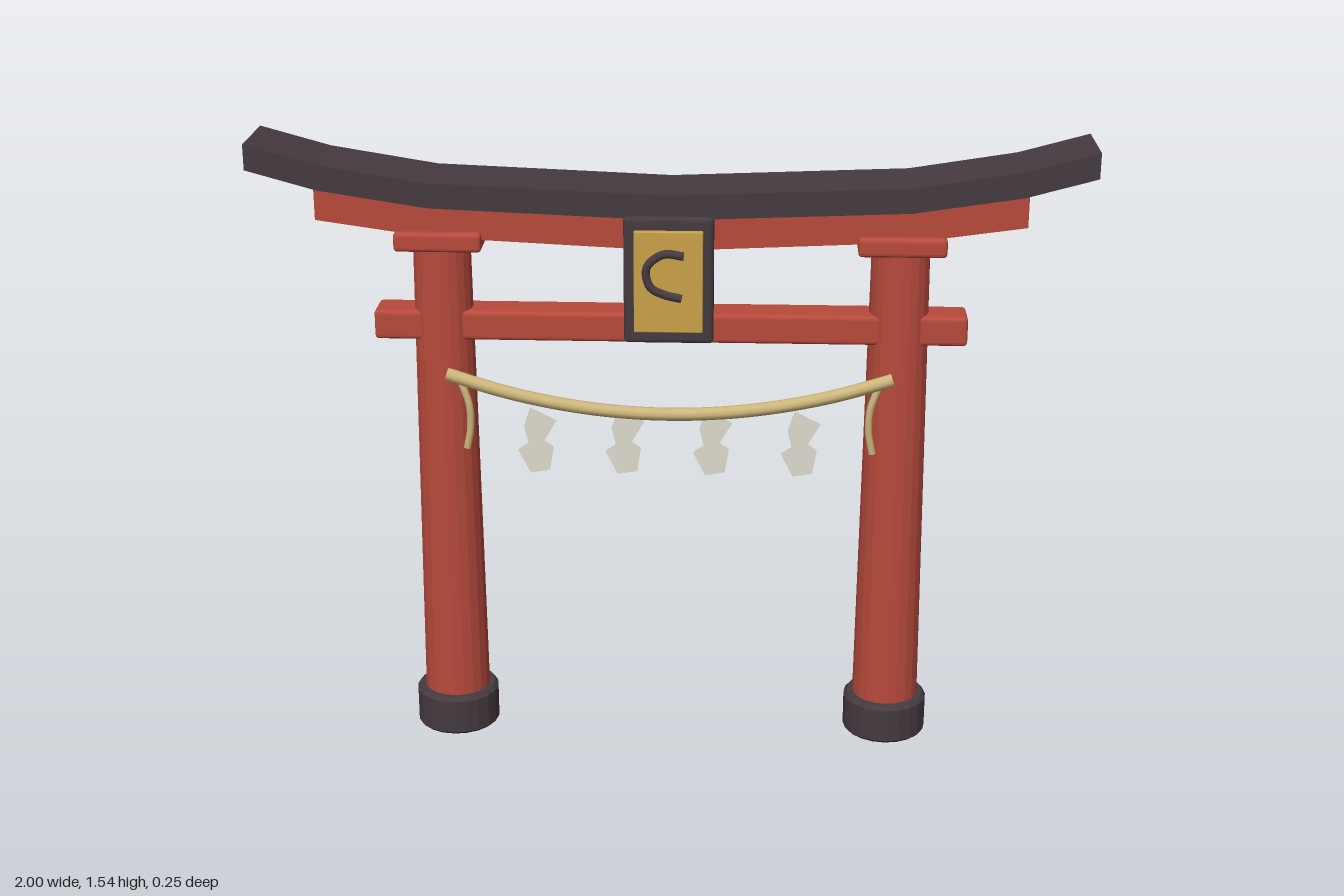
import * as THREE from 'three';
import { RoundedBoxGeometry } from 'three/addons/geometries/RoundedBoxGeometry.js';

const Z = -0.018; // depth centre of the timber frame

export function createModel() {
  const model = new THREE.Group();
  model.name = 'shrineGate';

  const material = (name, color, extra = {}) => {
    const m = new THREE.MeshStandardMaterial({ color, ...extra });
    m.name = name;
    return m;
  };
  const red = material('vermilionPaint', 0xb84a3c, { flatShading: true });
  const dark = material('darkTimber', 0x453a40, { flatShading: true });
  const gold = material('goldPanel', 0xc9a24a);
  const straw = material('strawRope', 0xcdb67c);
  const paper = material('whitePaper', 0xdedacd, { side: THREE.DoubleSide });

  const add = (name, geometry, mat, x = 0, y = 0, z = 0) => {
    const mesh = new THREE.Mesh(geometry, mat);
    mesh.name = name;
    mesh.position.set(x, y, z);
    model.add(mesh);
    return mesh;
  };
  const box = (name, w, h, d, mat, x, y, z, r = 0.01) =>
    add(name, new RoundedBoxGeometry(w, h, d, 2, r), mat, x, y, z);

  // Upswept beam: mirrored rows of [x, bottom, top], extruded through the depth
  const sweptBeam = (name, rows, depth, mat) => {
    const full = [...rows.slice(1).reverse().map(([x, b, t]) => [-x, b, t]), ...rows];
    const outline = [
      ...full.map(([x, b]) => new THREE.Vector2(x, b)),
      ...full.map(([x, , t]) => new THREE.Vector2(x, t)).reverse(),
    ];
    const g = new THREE.ExtrudeGeometry(new THREE.Shape(outline), { depth, bevelEnabled: false });
    add(name, g, mat, 0, 0, Z - depth / 2);
  };
  sweptBeam('roofBeam', [[0, 1.37, 1.43], [0.57, 1.393, 1.453], [0.83, 1.433, 1.495], [1, 1.48, 1.542]], 0.2, dark);
  sweptBeam('upperLintel', [[0, 1.287, 1.38], [0.57, 1.314, 1.403], [0.845, 1.353, 1.437]], 0.135, red);

  // Lower tie beam passing through both pillars
  box('tieBeam', 1.436, 0.073, 0.1, red, 0, 1.087, Z);

  // Closed turned part from a radius/height profile
  const turned = (points) =>
    new THREE.LatheGeometry(points.map(([r, y]) => new THREE.Vector2(r, y)), 20);

  for (const [side, s] of [['left', 1], ['right', -1]]) {
    const x = s * 0.553;
    add(side + 'Footing', turned([[0, 0], [0.1, 0], [0.105, 0.006], [0.105, 0.092], [0.097, 0.102], [0, 0.102]]), dark, x, 0, Z);
    add(side + 'Pillar', new THREE.CylinderGeometry(0.07, 0.083, 1.2, 20), red, x, 0.69, Z);
    box(side + 'PillarCap', 0.21, 0.047, 0.176, red, x, 1.304, Z);
  }

  // Name board: frame, panel and a plain curved ornament
  box('plaqueFrame', 0.214, 0.31, 0.045, dark, 0, 1.225, 0.0725);
  box('plaquePanel', 0.164, 0.248, 0.024, gold, 0, 1.225, 0.096, 0.003);
  const tube = (name, points, radius, mat, segments = 32) => {
    const curve = new THREE.CatmullRomCurve3(points.map((p) => new THREE.Vector3(...p)));
    add(name, new THREE.TubeGeometry(curve, segments, radius, 10), mat);
    // Round discs close both ends
    for (const [end, t, sign] of [['Start', 0, -1], ['End', 1, 1]]) {
      const cap = add(name + end, new THREE.CircleGeometry(radius, 10), mat);
      cap.position.copy(curve.getPoint(t));
      const dir = curve.getTangent(t).multiplyScalar(sign);
      cap.quaternion.setFromUnitVectors(new THREE.Vector3(0, 0, 1), dir);
    }
  };
  tube('plaqueOrnament', [
    [0.037, 1.292, 0.114], [-0.012, 1.296, 0.114], [-0.051, 1.263, 0.114],
    [-0.043, 1.217, 0.114], [-0.01, 1.198, 0.114], [0.032, 1.188, 0.114],
  ], 0.01, dark);

  // Sagging straw rope and its hanging tails
  const ropePoints = [];
  for (let i = -4; i <= 4; i++) {
    const u = i / 4;
    ropePoints.push([u * 0.54, 0.886 + 0.09 * u * u, 0.083 - 0.015 * u * u]);
  }
  tube('rope', ropePoints, 0.016, straw, 48);
  for (const [side, s] of [['left', 1], ['right', -1]]) {
    tube(side + 'RopeTail', [
      [s * 0.508, 0.96, 0.067], [s * 0.488, 0.9, 0.07], [s * 0.486, 0.84, 0.068], [s * 0.496, 0.785, 0.066],
    ], 0.009, straw, 16);
  }

  // Zigzag paper streamers
  const zigzag = [
    [-0.012, 0.895], [0.038, 0.895], [0.047, 0.862], [0.012, 0.812],
    [0.033, 0.8], [0.03, 0.74], [-0.016, 0.73], [-0.048, 0.795], [-0.01, 0.815], [-0.036, 0.825],
  ];
  zigzag.splice(0, zigzag.length,
    [-0.016, 0.9], [0.048, 0.868], [0.018, 0.815], [0.04, 0.8],
    [0.03, 0.738], [-0.018, 0.73], [-0.048, 0.79], [-0.022, 0.808], [-0.032, 0.85]);
  const streamer = new THREE.ShapeGeometry(new THREE.Shape(zigzag.map(([x, y]) => new THREE.Vector2(x, y))));
  for (let i = 0; i < 4; i++) {
    add('paperStreamer' + (i + 1), streamer, paper, -0.321 + i * 0.214, 0, 0.088);
  }

  return model;
}
